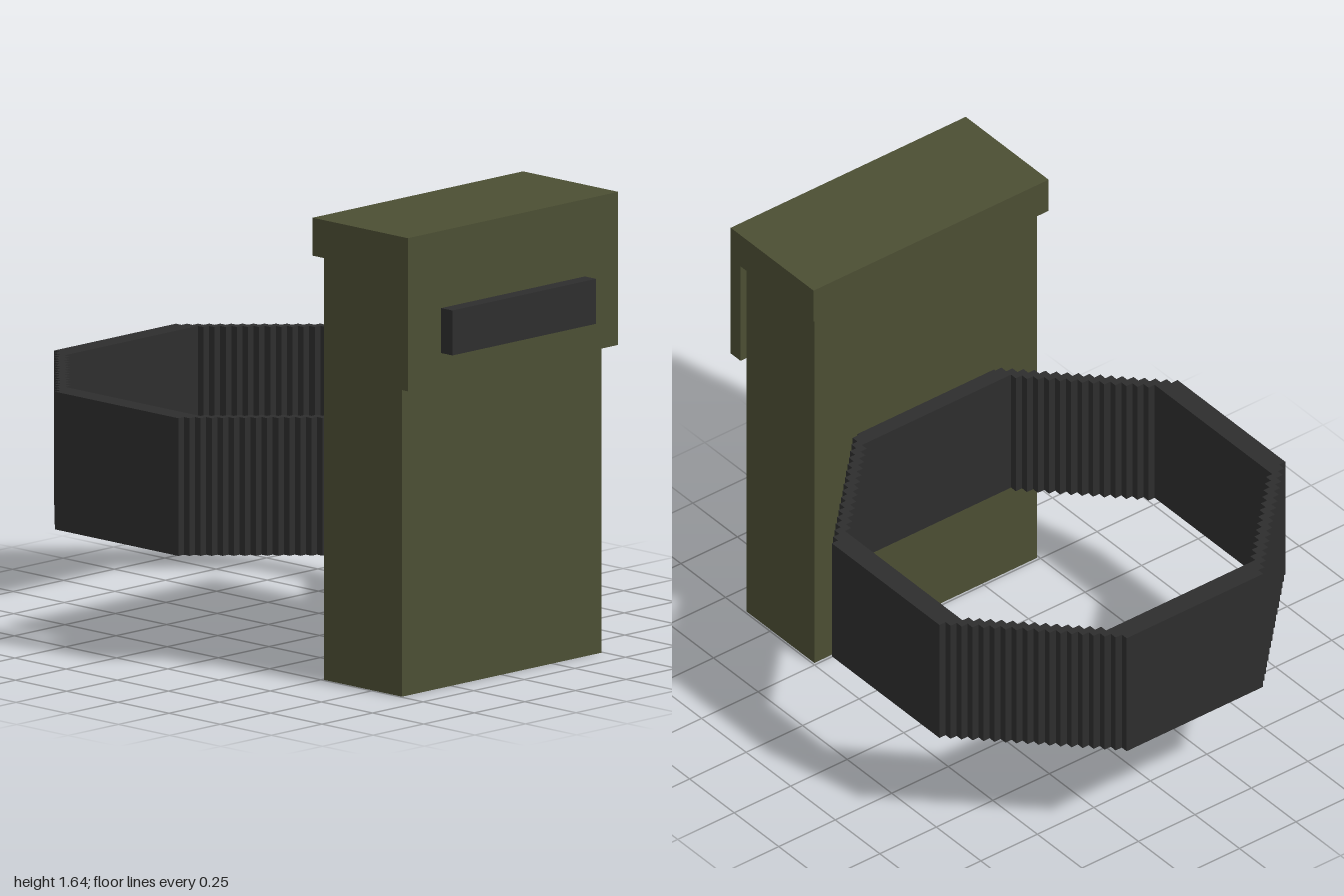
import * as THREE from 'three';

const olive = new THREE.MeshStandardMaterial({ color: 0x4b4e33 });
olive.name = 'olive fabric';
const black = new THREE.MeshStandardMaterial({ color: 0x2d2d2d });
black.name = 'black webbing';

function part(name, geometry, material) {
  const mesh = new THREE.Mesh(geometry, material);
  mesh.name = name;
  return mesh;
}

// Box given by its lower and upper corners
function box(name, material, [x0, y0, z0], [x1, y1, z1]) {
  const geometry = new THREE.BoxGeometry(x1 - x0, y1 - y0, z1 - z0);
  geometry.translate((x0 + x1) / 2, (y0 + y1) / 2, (z0 + z1) / 2);
  return part(name, geometry, material);
}

// Octagon outline whose four diagonal sides are staircases;
// stepOutFirst sets whether a step moves along the flat side first
function steppedOctagon(radius, half, steps, stepOutFirst) {
  const s = (radius - half) / steps;
  const corner = [];
  for (let i = 0; i <= steps; i++) {
    corner.push([radius - i * s, half + i * s]);
    if (i < steps) {
      corner.push(stepOutFirst
        ? [radius - i * s, half + (i + 1) * s]
        : [radius - (i + 1) * s, half + i * s]);
    }
  }
  const points = [];
  for (let k = 0; k < 4; k++) {
    const c = Math.round(Math.cos(k * Math.PI / 2));
    const n = Math.round(Math.sin(k * Math.PI / 2));
    for (const [x, y] of corner) points.push(new THREE.Vector2(c * x - n * y, n * x + c * y));
  }
  return points;
}

export function createModel() {
  const model = new THREE.Group();
  model.name = 'strapPouch';

  // Pouch body
  model.add(box('pouchBody', olive, [-0.493, 0, 0.51], [0.493, 1.51, 0.89]));

  // Lid with hanging front flap: an L profile in z and y, swept across x
  const lid = new THREE.Shape([
    [0.48, 1.51], [0.89, 1.51], [0.89, 1.1], [0.945, 1.1], [0.945, 1.645], [0.48, 1.645],
  ].map(([z, y]) => new THREE.Vector2(z, y)));
  const lidGeometry = new THREE.ExtrudeGeometry(lid, { depth: 1.04, bevelEnabled: false });
  lidGeometry.translate(0, 0, -0.52).rotateY(-Math.PI / 2);
  model.add(part('lidFlap', lidGeometry, olive));

  // Clasp bar on the flap
  model.add(box('clasp', black, [-0.355, 1.21, 0.945], [0.355, 1.37, 1]));

  // Octagonal strap loop behind the pouch
  const loop = new THREE.Shape(steppedOctagon(0.765, 0.302, 17, false));
  loop.holes.push(new THREE.Path(steppedOctagon(0.685, 0.33, 13, false)));
  const loopGeometry = new THREE.ExtrudeGeometry(loop, { depth: 0.49, bevelEnabled: false });
  loopGeometry.rotateX(-Math.PI / 2).translate(0, 0.415, -0.235);
  model.add(part('strapLoop', loopGeometry, black));

  return model;
}
